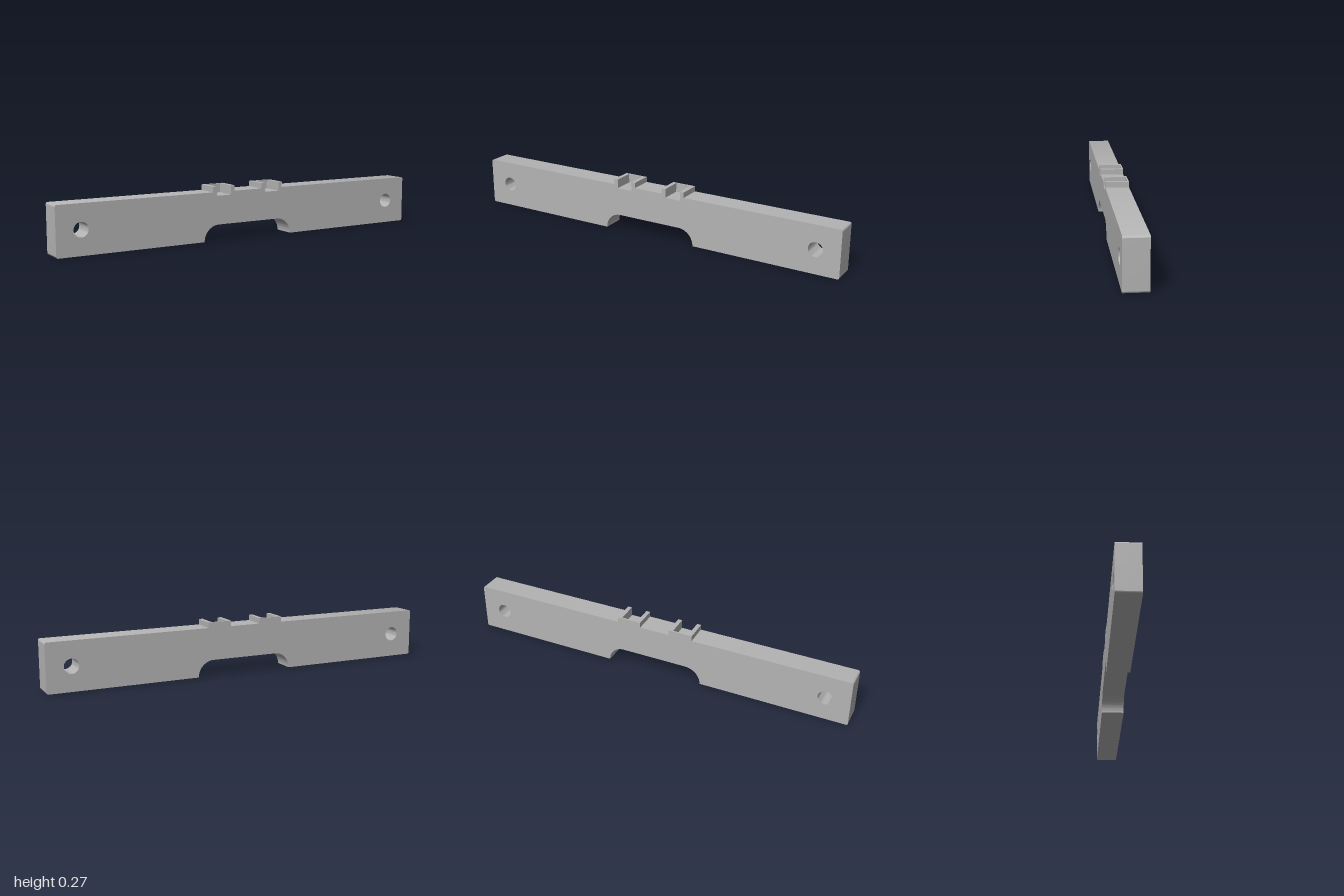
import * as THREE from 'three';
import { toCreasedNormals } from 'three/addons/utils/BufferGeometryUtils.js';

const DEPTH = 0.113, BAR_TOP = 0.24, CLIP_TOP = 0.267, SLOT_FLOOR = 0.222;
const CORNER = 0.009, ARCH_R = 0.08, ARCH_HALF = 0.25;
// outer left, slot left, slot right, outer right of each clip
const CLIPS = [[-0.202, -0.181, -0.101, -0.08], [0.075, 0.096, 0.177, 0.198]];

function barProfile() {
  const s = new THREE.Shape();
  // underside with the rounded arch
  s.moveTo(-1 + CORNER, 0);
  s.lineTo(-ARCH_HALF, 0);
  s.absarc(-ARCH_HALF + ARCH_R, 0, ARCH_R, Math.PI, Math.PI / 2, true);
  s.lineTo(ARCH_HALF - ARCH_R, ARCH_R);
  s.absarc(ARCH_HALF - ARCH_R, 0, ARCH_R, Math.PI / 2, 0, true);
  s.lineTo(1 - CORNER, 0);
  // right end
  s.absarc(1 - CORNER, CORNER, CORNER, -Math.PI / 2, 0, false);
  s.absarc(1 - CORNER, BAR_TOP - CORNER, CORNER, 0, Math.PI / 2, false);
  // top edge, right to left, with the prongs of each clip
  for (const [a, b, c, d] of [...CLIPS].reverse()) {
    s.lineTo(d, BAR_TOP);
    s.lineTo(d, CLIP_TOP);
    s.lineTo(c, CLIP_TOP);
    s.lineTo(c, SLOT_FLOOR);
    s.lineTo(b, SLOT_FLOOR);
    s.lineTo(b, CLIP_TOP);
    s.lineTo(a, CLIP_TOP);
    s.lineTo(a, BAR_TOP);
  }
  // left end
  s.absarc(-1 + CORNER, BAR_TOP - CORNER, CORNER, Math.PI / 2, Math.PI, false);
  s.absarc(-1 + CORNER, CORNER, CORNER, Math.PI, Math.PI * 1.5, false);
  // screw holes
  for (const x of [-0.88, 0.88]) {
    const hole = new THREE.Path();
    hole.absarc(x, 0.12, 0.036, 0, Math.PI * 2, true);
    s.holes.push(hole);
  }
  return s;
}

export function createModel() {
  const group = new THREE.Group();
  group.name = 'mountingBar';
  const grey = new THREE.MeshStandardMaterial({ color: 0xb4b4b4 });
  grey.name = 'grey';

  const geo = new THREE.ExtrudeGeometry(barProfile(), { depth: DEPTH, bevelEnabled: false, curveSegments: 16 });
  geo.translate(0, 0, -DEPTH / 2);
  const bar = new THREE.Mesh(toCreasedNormals(geo, 0.6), grey);
  bar.name = 'bar';
  group.add(bar);

  // thin wall closing the back of each clip slot
  const wall = 0.007;
  CLIPS.forEach(([, b, c], i) => {
    const mesh = new THREE.Mesh(new THREE.BoxGeometry(c - b, CLIP_TOP - SLOT_FLOOR, wall), grey);
    mesh.position.set((b + c) / 2, (CLIP_TOP + SLOT_FLOOR) / 2, -DEPTH / 2 + wall / 2);
    mesh.name = i ? 'leftClipBackWall' : 'rightClipBackWall';
    group.add(mesh);
  });
  return group;
}
